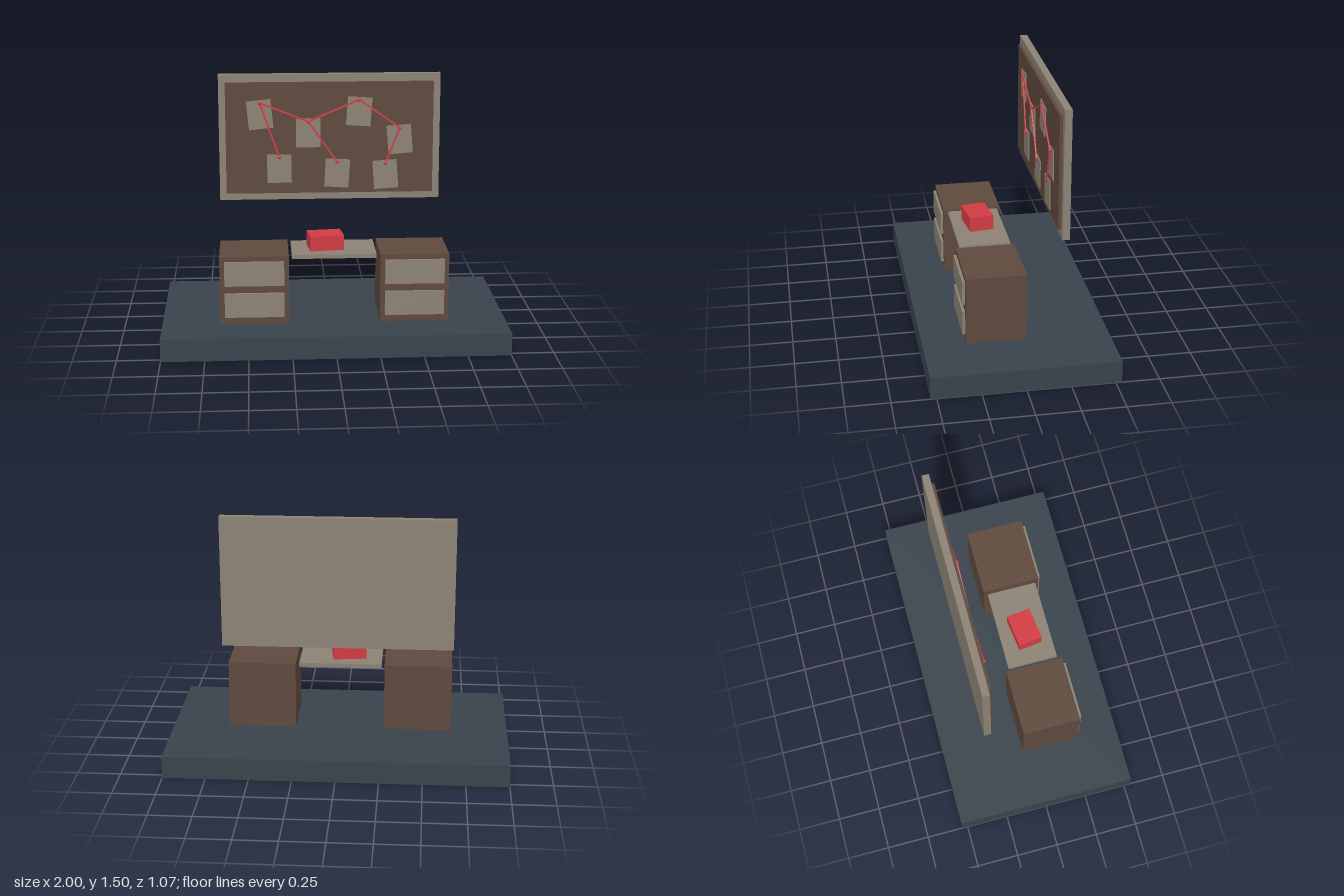
import * as THREE from 'three';

export function createModel() {
  const model = new THREE.Group();
  model.name = 'investigationDesk';

  const mat = (name, color) => {
    const m = new THREE.MeshStandardMaterial({ color });
    m.name = name;
    return m;
  };
  const slate = mat('slate', 0x39434b);
  const brown = mat('brown', 0x5e493d);
  const taupe = mat('taupe', 0x8c8274);
  const red = mat('red', 0xd23b43);

  // Box given by its size and centre
  const box = (name, material, size, pos, parent = model) => {
    const mesh = new THREE.Mesh(new THREE.BoxGeometry(...size), material);
    mesh.name = name;
    mesh.position.set(...pos);
    parent.add(mesh);
    return mesh;
  };

  // Floor slab
  box('base', slate, [2, 0.132, 1.07], [0, 0.066, 0]);

  // Two drawer cabinets
  for (const side of [-1, 1]) {
    const cabinet = new THREE.Group();
    cabinet.name = side > 0 ? 'leftCabinet' : 'rightCabinet';
    cabinet.position.x = side * 0.464;
    model.add(cabinet);
    box('cabinetBody', brown, [0.4, 0.405, 0.346], [0, 0.3345, 0.115], cabinet);
    for (const y of [0.248, 0.437]) {
      box('drawer', taupe, [0.345, 0.144, 0.016], [0, y, 0.296], cabinet);
    }
  }

  // Bridging desk top with a case box turned slightly on it
  box('deskTop', taupe, [0.49, 0.024, 0.3], [-0.001, 0.525, 0.112]);
  box('caseBox', red, [0.198, 0.088, 0.143], [-0.046, 0.581, 0.113]).rotation.y = 0.125;

  // Wall board
  const board = new THREE.Group();
  board.name = 'board';
  model.add(board);
  box('boardFrame', taupe, [1.328, 0.766, 0.042], [-0.001, 1.118, -0.276], board);
  box('boardPanel', brown, [1.246, 0.677, 0.018], [-0.002, 1.117, -0.246], board);

  // Pinned notes: x, y, tilt
  const notes = [
    [-0.42, 1.263, 0.1], [-0.131, 1.148, 0], [0.175, 1.277, -0.07],
    [0.42, 1.105, 0.08], [-0.305, 0.931, 0], [0.043, 0.9, -0.06], [0.335, 0.889, 0.07],
  ];
  const pinGeometry = new THREE.SphereGeometry(0.011, 8, 6);
  const pins = notes.map(([x, y, tilt]) => {
    box('note', taupe, [0.147, 0.174, 0.006], [x, y, -0.234], board).rotation.z = tilt;
    const pin = new THREE.Mesh(pinGeometry, red);
    pin.name = 'pin';
    pin.position.set(x, y + 0.072, -0.226);
    board.add(pin);
    return pin.position;
  });

  // Strings between pins
  for (const [a, b] of [[4, 0], [0, 1], [1, 2], [2, 3], [3, 6], [1, 5]]) {
    const d = pins[b].clone().sub(pins[a]);
    const mid = pins[a].clone().addScaledVector(d, 0.5);
    box('string', red, [d.length(), 0.01, 0.008], mid.toArray(), board)
      .rotation.z = Math.atan2(d.y, d.x);
  }

  return model;
}
